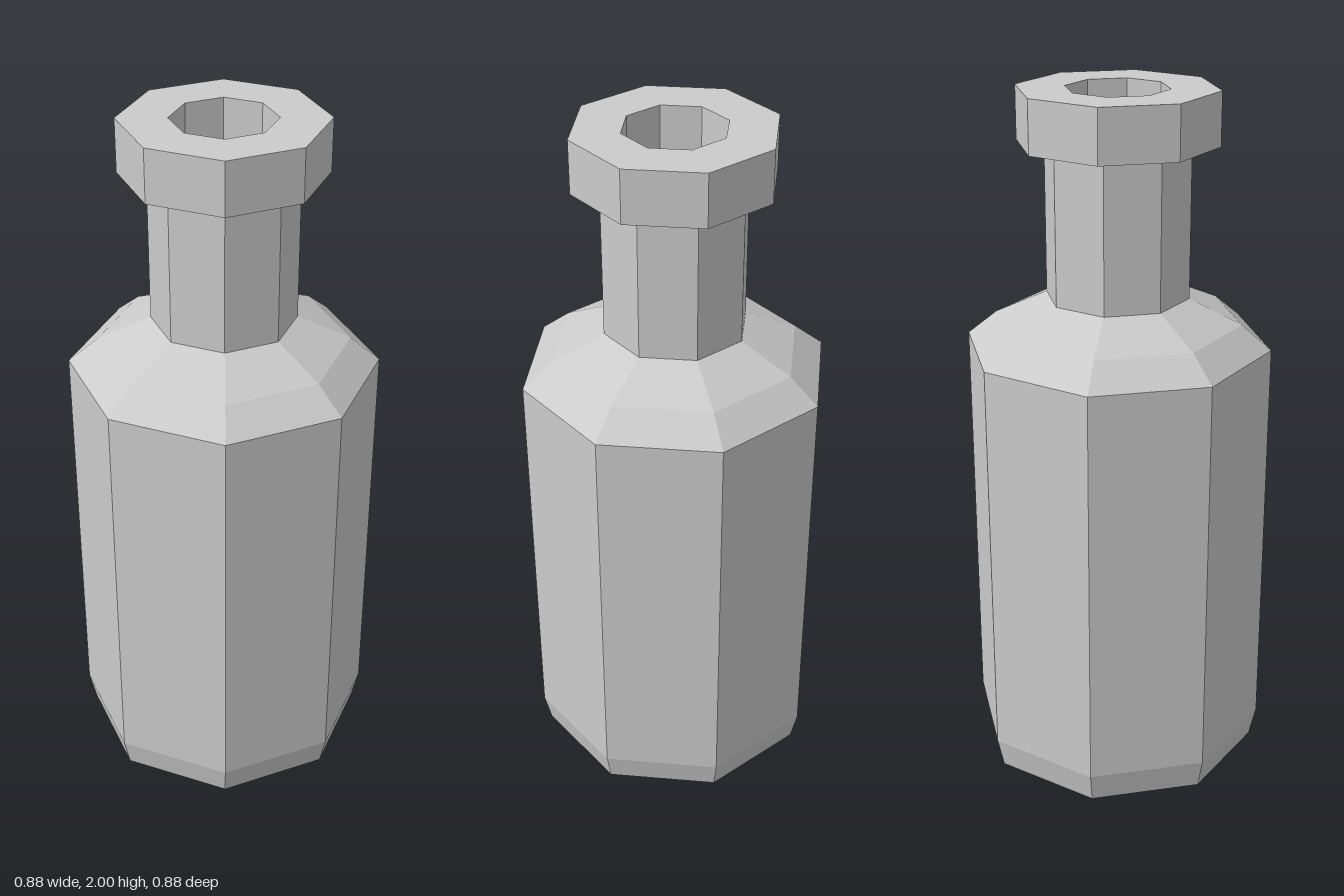
import * as THREE from 'three';

const SIDES = 8;

export function createModel() {
  const bottle = new THREE.Group();
  bottle.name = 'bottle';
  const material = new THREE.MeshStandardMaterial({ color: 0xcccccc, flatShading: true });

  // Eight-sided lathe; each profile point is [radius, height]
  const addPart = (name, profile) => {
    const points = profile.map(([r, y]) => new THREE.Vector2(r, y));
    const mesh = new THREE.Mesh(new THREE.LatheGeometry(points, SIDES), material);
    mesh.name = name;
    bottle.add(mesh);
  };

  // Flat base, bevelled foot and straight walls
  addPart('body', [[0, 0], [0.42, 0], [0.44, 0.09], [0.44, 1.28]]);

  // Two-step shoulder closing in to the neck
  addPart('shoulder', [[0.44, 1.28], [0.355, 1.35], [0.205, 1.42]]);

  addPart('neck', [[0.205, 1.42], [0.205, 1.85]]);

  // Wide collar with an open mouth
  addPart('lip', [[0.205, 1.85], [0.283, 1.85], [0.283, 2], [0.145, 2]]);

  // Hollow inside, from the mouth down to a floor raised in the middle
  addPart('interior', [
    [0.145, 2], [0.145, 1.38], [0.32, 1.3], [0.38, 1.24],
    [0.38, 0.06], [0.2, 0.06], [0.128, 0.11], [0, 0.11],
  ]);

  return bottle;
}
